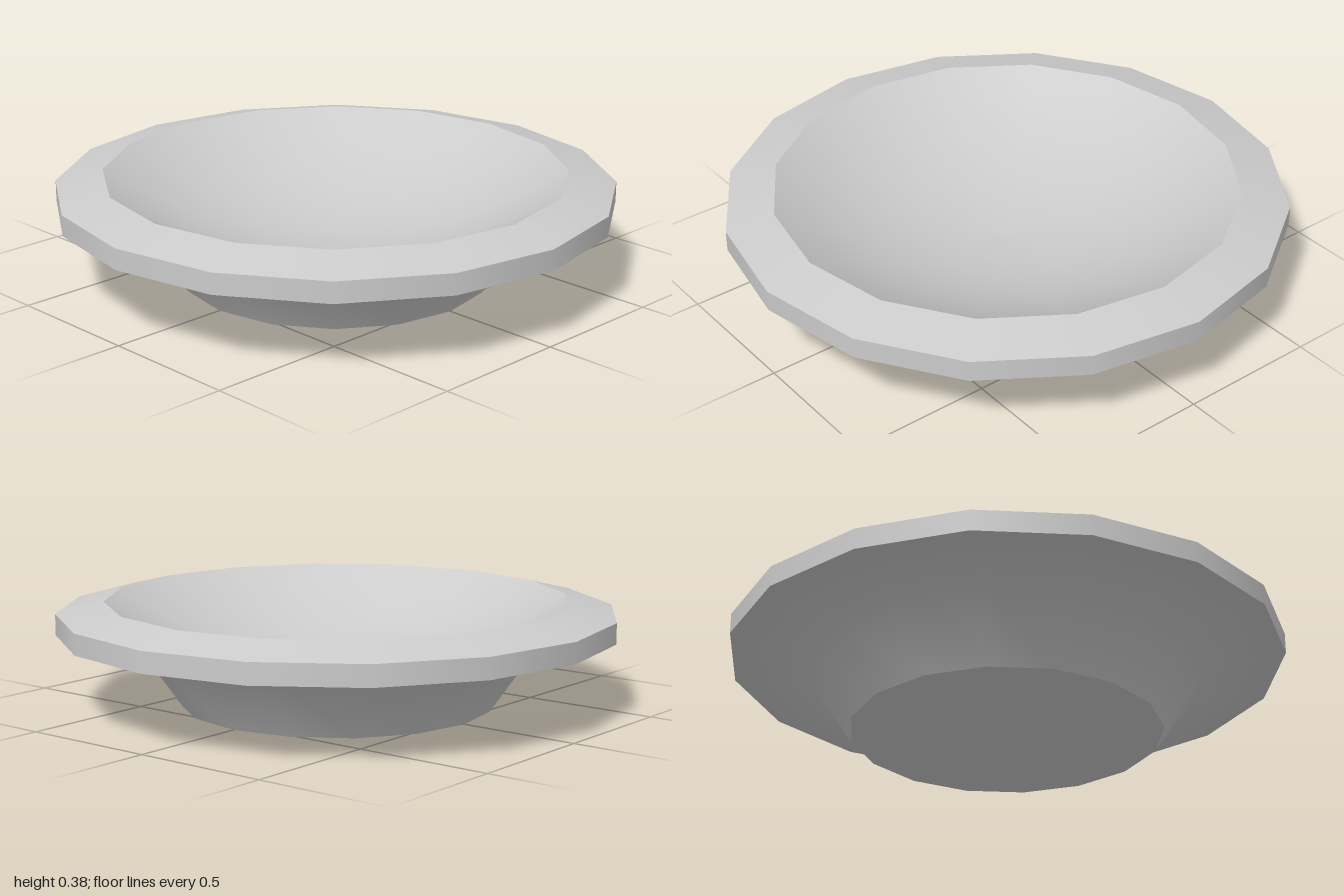
import * as THREE from 'three';

const SIDES = 16;

export function createModel() {
  const group = new THREE.Group();
  const material = new THREE.MeshStandardMaterial({ color: 0xcccccc });

  // Each band is smooth in itself and meets its neighbour at a sharp edge
  const addBand = (name, points) => {
    const profile = points.map(([r, y]) => new THREE.Vector2(r, y));
    const mesh = new THREE.Mesh(new THREE.LatheGeometry(profile, SIDES), material);
    mesh.name = name;
    group.add(mesh);
  };

  addBand('base', [[0, 0], [0.56, 0]]);
  addBand('outerWall', [[0.56, 0], [0.72, 0.23], [1, 0.265]]);
  addBand('rimEdge', [[1, 0.265], [1, 0.34]]);
  addBand('rimTop', [[1, 0.34], [0.83, 0.382]]);

  // Shallow spherical hollow, from the rim down to the centre
  const rimRadius = 0.83, rimHeight = 0.382, slope = 0.58, rings = 6;
  const radius = rimRadius / Math.sin(slope);
  const hollow = [];
  for (let i = 0; i <= rings; i++) {
    const a = slope * (1 - i / rings);
    hollow.push([radius * Math.sin(a), rimHeight - radius * (Math.cos(a) - Math.cos(slope))]);
  }
  addBand('bowlInside', hollow);

  return group;
}
